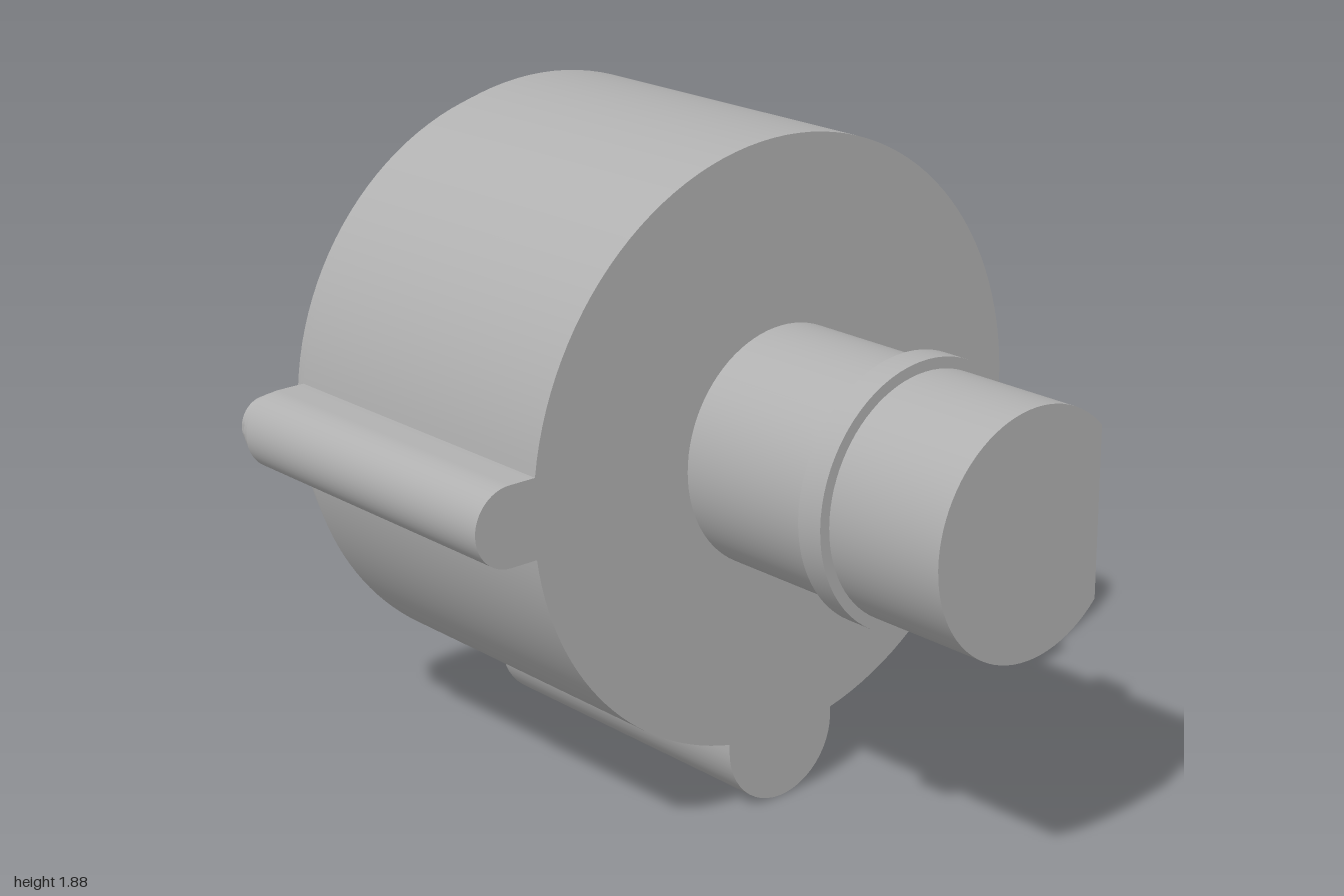
import * as THREE from 'three';
import { toCreasedNormals } from 'three/addons/utils/BufferGeometryUtils.js';

const CX = 0.06, CY = 1.038, R = 0.846; // motor axis and housing radius
const lugs = {
  left: { angle: Math.PI, dist: 0.92, r: 0.11 },
  bottom: { angle: Math.PI * 1.5, dist: 0.848, r: 0.19 },
  right: { angle: Math.PI * 11 / 6, dist: 0.925, r: 0.108 },
};

// Points along an arc, counter-clockwise from a to b
function arc(x, y, r, a, b, n) {
  return Array.from({ length: n + 1 }, (_, i) => {
    const t = a + (b - a) * i / n;
    return new THREE.Vector2(x + r * Math.cos(t), y + r * Math.sin(t));
  });
}

// Rounded lug standing out of a circle of the given radius
function lugPoints({ angle, dist, r }, radius, inset) {
  const w = r - inset, half = Math.asin(w / radius);
  const foot = (a) => arc(0, 0, radius, a, a, 1)[0];
  return [
    foot(angle - half),
    ...arc(dist * Math.cos(angle), dist * Math.sin(angle), w, angle - Math.PI / 2, angle + Math.PI / 2, 24),
    foot(angle + half),
  ];
}

// Housing outline with the two full-length lugs, shrunk by inset
function housingPoints(inset) {
  const radius = R - inset, { left, bottom } = lugs;
  const hl = Math.asin((left.r - inset) / radius);
  const hb = Math.asin((bottom.r - inset) / radius);
  return [
    ...lugPoints(left, radius, inset),
    ...arc(0, 0, radius, left.angle + hl, bottom.angle - hb, 28).slice(1, -1),
    ...lugPoints(bottom, radius, inset),
    ...arc(0, 0, radius, bottom.angle + hb, left.angle + Math.PI * 2 - hl, 84).slice(1, -1),
  ];
}

export function createModel() {
  const group = new THREE.Group();
  const grey = new THREE.MeshStandardMaterial({ color: 0xb0b0b0 });
  grey.name = 'grey';

  function prism(name, points, z0, z1) {
    const raw = new THREE.ExtrudeGeometry(new THREE.Shape(points), { depth: z1 - z0, bevelEnabled: false });
    const mesh = new THREE.Mesh(toCreasedNormals(raw, 0.45), grey);
    mesh.name = name;
    mesh.position.set(CX, CY, z0);
    group.add(mesh);
  }

  // Housing with two stepped rims at the back
  prism('housing', housingPoints(0), -0.925, 0.088);
  prism('rearStepOuter', housingPoints(0.017), -0.962, -0.925);
  prism('rearStepInner', housingPoints(0.035), -1, -0.962);

  // Short lug on the lower left side of the model
  prism('shortLug', lugPoints(lugs.right, R, 0), -0.453, 0.088);

  // Output shaft with one flat side, and its collar
  const flat = Math.acos(0.24 / 0.335);
  prism('shaft', arc(0, 0, 0.335, flat, Math.PI * 2 - flat, 64), 0.088, 1);
  prism('collar', arc(0, 0, 0.366, 0, Math.PI * 2, 72).slice(0, -1), 0.542, 0.622);

  return group;
}
